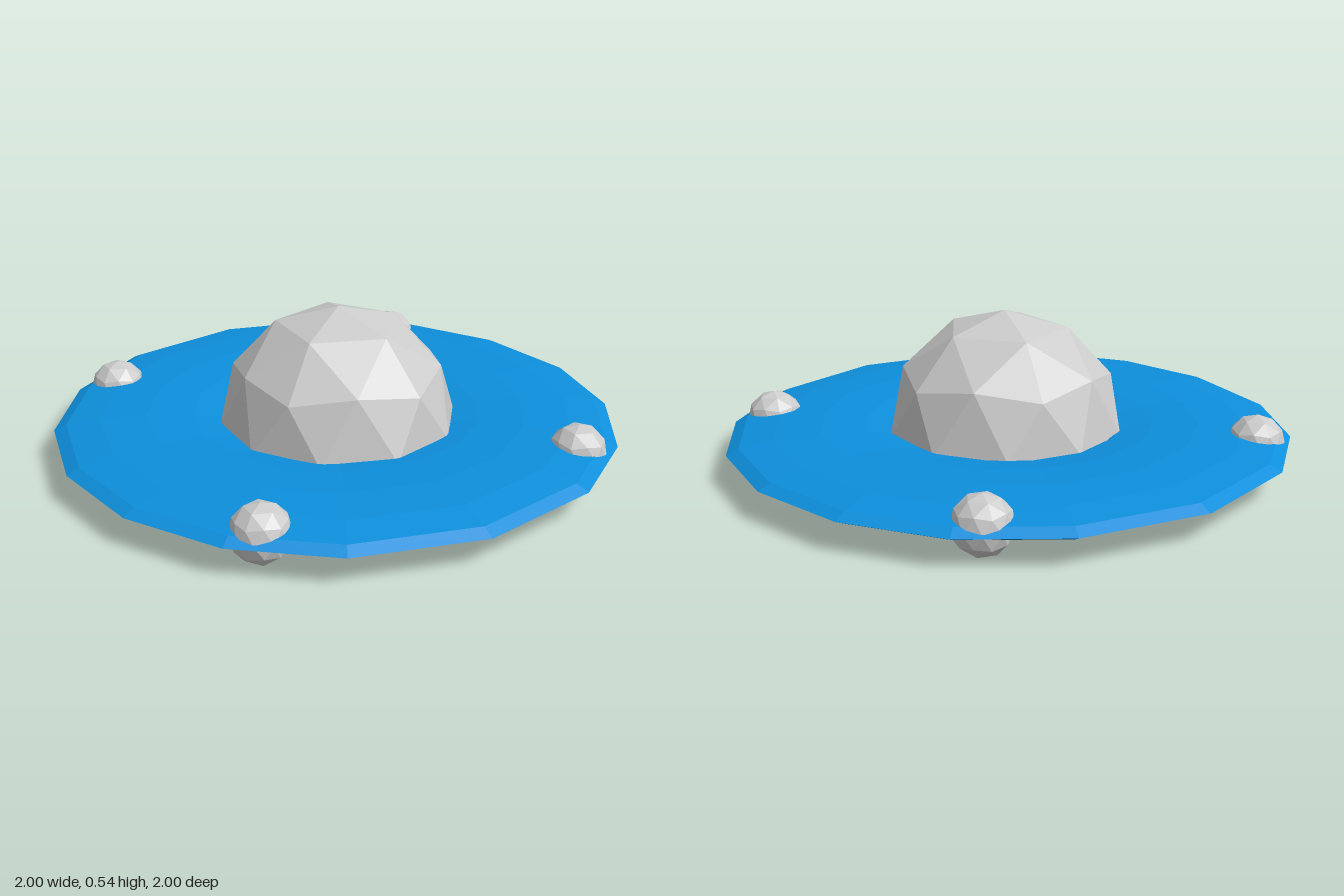
import * as THREE from 'three';

const grey = new THREE.MeshStandardMaterial({ color: 0xcccccc, flatShading: true });
const greyOpen = new THREE.MeshStandardMaterial({ color: 0xcccccc, flatShading: true, side: THREE.DoubleSide });
const blue = new THREE.MeshStandardMaterial({ color: 0x0d8fdc, flatShading: true });

// Faceted ball with one vertex pointing straight up
function facetedBall(radius) {
  const g = new THREE.IcosahedronGeometry(radius, 1);
  g.rotateZ(Math.atan(2 / (1 + Math.sqrt(5))));
  g.rotateY(Math.PI);
  return g;
}

// Keep only the triangles above the equator
function upperHalf(geometry) {
  const p = geometry.attributes.position;
  const kept = [];
  for (let i = 0; i < p.count; i += 3) {
    if (Math.min(p.getY(i), p.getY(i + 1), p.getY(i + 2)) < -1e-3) continue;
    for (let k = i; k < i + 3; k++) kept.push(p.getX(k), p.getY(k), p.getZ(k));
  }
  const g = new THREE.BufferGeometry();
  g.setAttribute('position', new THREE.Float32BufferAttribute(kept, 3));
  g.computeVertexNormals();
  return g;
}

// Flattened ring: an elliptical section swept around y in 16 slightly uneven steps
function ringGeometry() {
  const section = [];
  for (let i = 0; i <= 12; i++) {
    const a = (i / 12) * Math.PI * 2;
    section.push(new THREE.Vector2(0.675 + 0.325 * Math.cos(a), 0.042 * Math.sin(a)));
  }
  const g = new THREE.LatheGeometry(section, 16);
  const p = g.attributes.position;
  const quarter = [0, 26, 47.5, 68.8, 90];
  for (let i = 0; i < p.count; i++) {
    const step = Math.floor(i / section.length);
    const inHalf = step % 8;
    const inner = inHalf <= 4 ? quarter[inHalf] : 180 - quarter[8 - inHalf];
    const a = THREE.MathUtils.degToRad(Math.floor(step / 8) * 180 + inner);
    const r = Math.hypot(p.getX(i), p.getZ(i));
    p.setXYZ(i, r * Math.sin(a), p.getY(i), r * Math.cos(a));
  }
  g.computeVertexNormals();
  return g;
}

export function createModel() {
  const model = new THREE.Group();
  model.name = 'flyingSaucer';

  function add(name, geometry, material, x, y, z) {
    const mesh = new THREE.Mesh(geometry, material);
    mesh.name = name;
    mesh.position.set(x, y, z);
    model.add(mesh);
  }

  // Hull with an open centre
  add('hullRing', ringGeometry(), blue, 0, 0.106, 0);

  // Open-bottomed dome, set slightly forward
  add('dome', upperHalf(facetedBall(0.425)), greyOpen, -0.004, 0.115, 0.028);

  // Four balls through the rim
  const ball = facetedBall(0.101);
  for (const [side, x] of [['Left', 0.595], ['Right', -0.595]]) {
    add('front' + side + 'Ball', ball, grey, x, 0.105, 0.638);
    add('back' + side + 'Ball', ball, grey, x, 0.105, -0.642);
  }
  return model;
}
